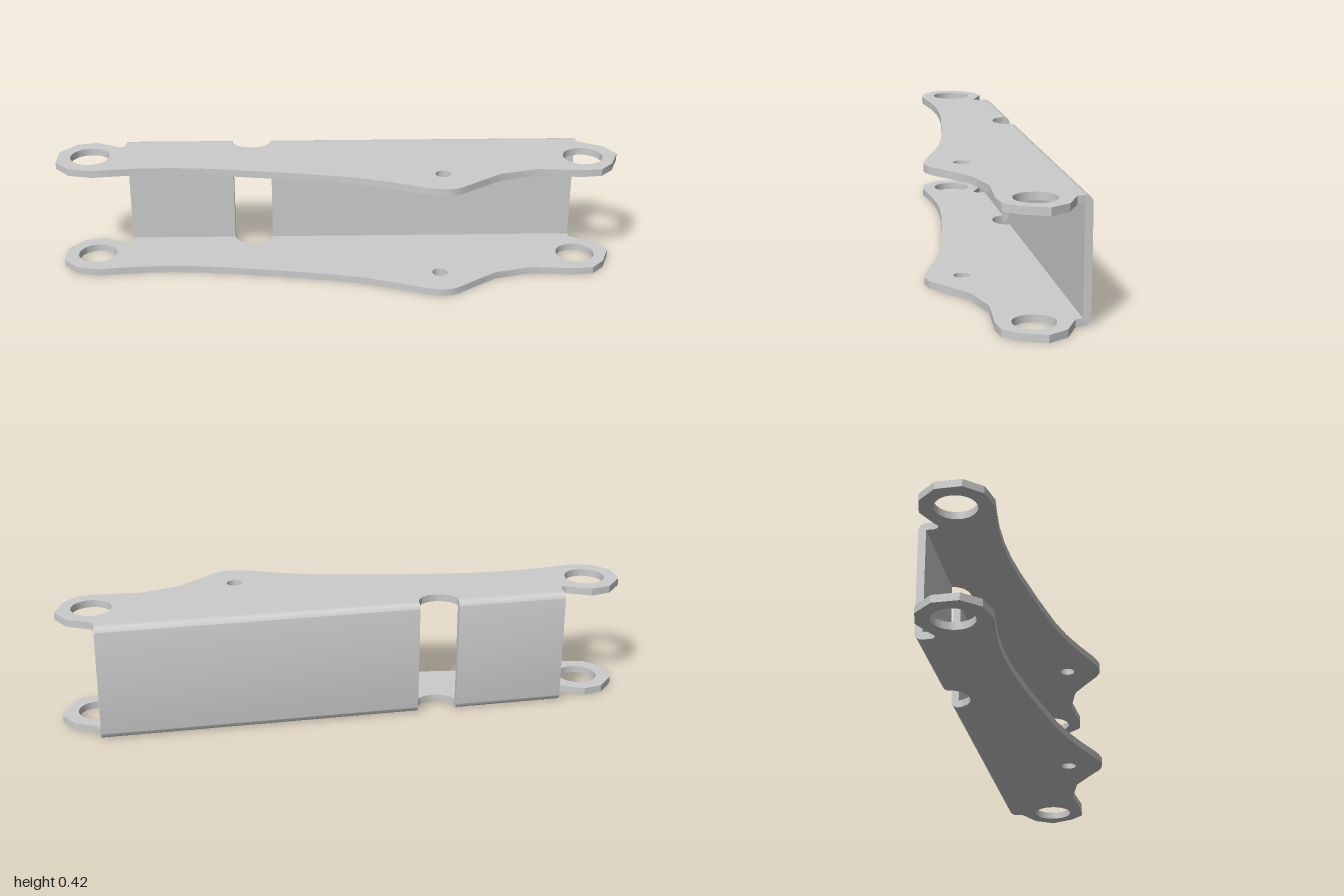
import * as THREE from 'three';
import { toCreasedNormals } from 'three/addons/utils/BufferGeometryUtils.js';

const HEIGHT = 0.418;
const T = 0.026; // sheet thickness, also the outer bend radius
const material = new THREE.MeshStandardMaterial({ color: 0xcccccc });

// Outer face of the slightly slanted back web
const backZ = (x) => -0.2117 - 0.0177 * x;

// Side plate outline in the x/z plane, with bolt and pin holes
function plateGeometry() {
  const fold = (x) => [x, backZ(x) + T];
  const outline = [
    // rounded left eye and its relief cut
    fold(-0.77), [-0.77, -0.145], [-0.776, -0.132], [-0.79, -0.128], [-0.805, -0.137],
    [-0.877, -0.168], [-0.945, -0.152], [-1, -0.088], [-1, 0], [-0.947, 0.058], [-0.866, 0.075],
    // long curved front edge with the pin lobe
    [-0.78, 0.063], [-0.7, 0.054], [-0.6, 0.05], [-0.5, 0.053], [-0.4, 0.062],
    [-0.2, 0.087], [0, 0.118], [0.1, 0.141], [0.2, 0.173], [0.3, 0.21], [0.335, 0.22],
    [0.37, 0.226], [0.405, 0.22], [0.43, 0.207], [0.5, 0.152], [0.57, 0.1], [0.7, 0.063],
    // right eye
    [0.77, 0.067], [0.86, 0.073], [0.927, 0.064], [0.97, 0.016], [1, -0.068],
    [0.96, -0.134], [0.874, -0.176], fold(0.87),
    // notch between the two web sections
    fold(-0.245), [-0.247, -0.168], [-0.265, -0.142], [-0.29, -0.129], [-0.315, -0.125],
    [-0.34, -0.13], [-0.365, -0.142], [-0.382, -0.165], fold(-0.385),
  ];
  const shape = new THREE.Shape(outline.map(([x, z]) => new THREE.Vector2(x, -z)));
  for (const [x, z, r] of [[-0.885, -0.047, 0.07], [0.875, -0.047, 0.07], [0.367, 0.1, 0.027]]) {
    shape.holes.push(new THREE.Path().absarc(x, -z, r, 0, Math.PI * 2, true));
  }
  const geo = new THREE.ExtrudeGeometry(shape, { depth: T, bevelEnabled: false, curveSegments: 24 });
  geo.rotateX(-Math.PI / 2);
  return toCreasedNormals(geo, 0.45);
}

// Back web section: C profile with rounded outer bends, sheared along the slant
function webGeometry(x0, x1) {
  const shape = new THREE.Shape();
  shape.moveTo(-T, 0);
  shape.absarc(-T, T, T, -Math.PI / 2, 0, false);
  shape.absarc(-T, HEIGHT - T, T, 0, Math.PI / 2, false);
  shape.lineTo(-T, 0);
  const geo = new THREE.ExtrudeGeometry(shape, { depth: x1 - x0, bevelEnabled: false, curveSegments: 6 });
  geo.rotateY(Math.PI / 2);
  geo.translate(x0, 0, 0);
  const p = geo.attributes.position;
  for (let i = 0; i < p.count; i++) p.setZ(i, p.getZ(i) + backZ(p.getX(i)));
  // Profile x runs backwards after the turn, so outer bends face -z
  return toCreasedNormals(geo, 0.5);
}

export function createModel() {
  const group = new THREE.Group();
  group.name = 'channelBracket';
  const add = (name, geo, y = 0) => {
    const mesh = new THREE.Mesh(geo, material);
    mesh.name = name;
    mesh.position.y = y;
    group.add(mesh);
  };
  const plate = plateGeometry();
  add('lowerPlate', plate);
  add('upperPlate', plate, HEIGHT - T);
  add('shortWeb', webGeometry(-0.77, -0.385));
  add('longWeb', webGeometry(-0.245, 0.87));
  return group;
}
